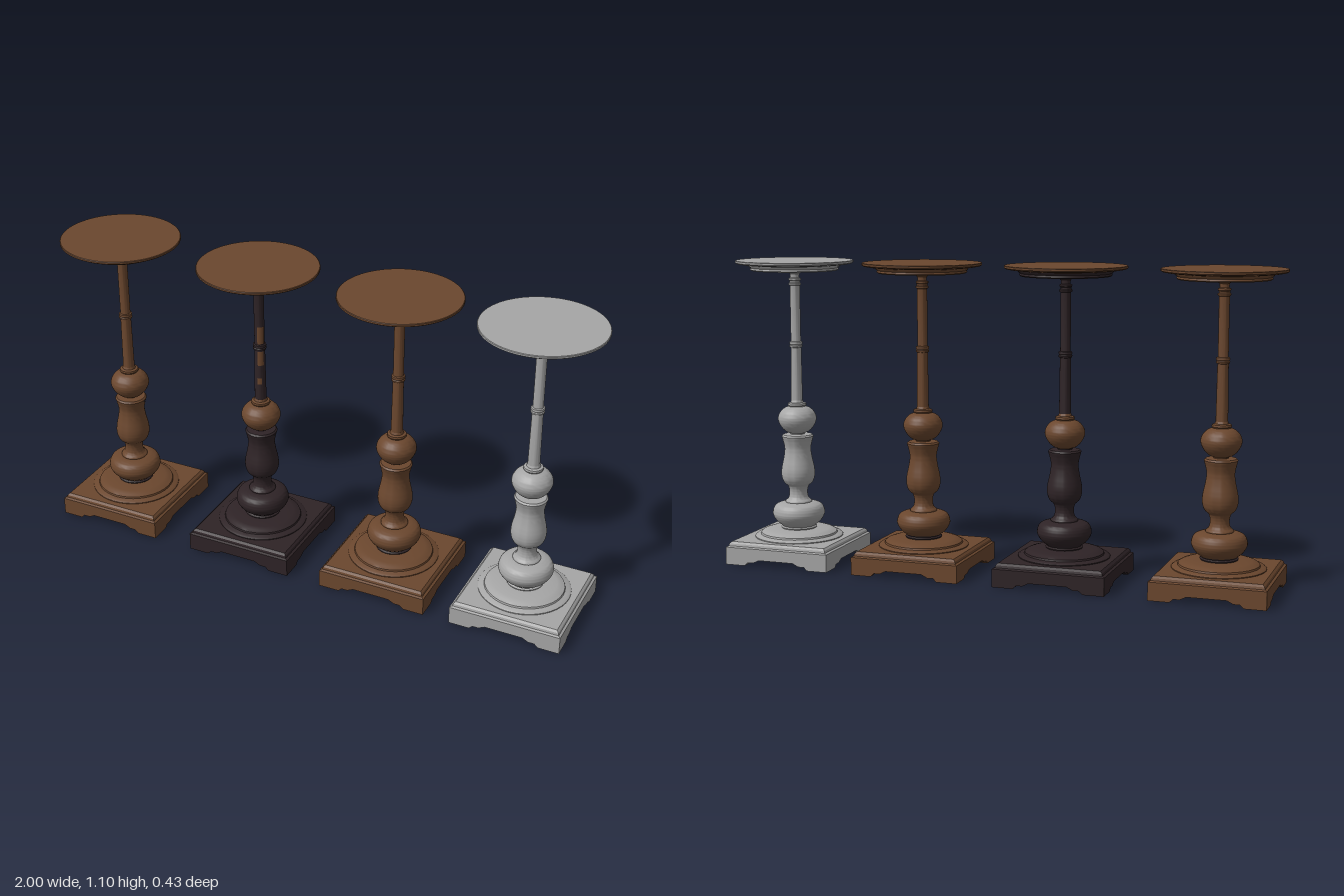
import * as THREE from 'three';
import { toCreasedNormals } from 'three/addons/utils/BufferGeometryUtils.js';

const material = (name, color) => Object.assign(new THREE.MeshStandardMaterial({ color }), { name });

// Turned part from [radius, height] points, optionally rounded through them
function turned(points, smooth = false, segments = 40) {
  let pts = points.map(([r, y]) => new THREE.Vector2(r, y));
  if (smooth) pts = new THREE.SplineCurve(pts).getPoints(points.length * 4);
  return toCreasedNormals(new THREE.LatheGeometry(pts, segments), 0.6);
}

function polygon(points) {
  return new THREE.Shape(points.map(([x, y]) => new THREE.Vector2(x, y)));
}

// Square moulded plinth: a four-sided lathe with flat faces
function plinthGeometry() {
  const profile = [[0.2, 0.028], [0.2, 0.064], [0.192, 0.068], [0.19, 0.076], [0.183, 0.083], [0, 0.083]];
  const pts = profile.map(([r, y]) => new THREE.Vector2(r * Math.SQRT2, y));
  const g = new THREE.LatheGeometry(pts, 4).rotateY(Math.PI / 4).toNonIndexed();
  g.computeVertexNormals();
  return g;
}

function createModel() {
  const brown = material('brown wood', 0x6b472e);
  const dark = material('dark wood', 0x2e2326);
  const grey = material('pale grey', 0xa6a6a6);

  const plinth = plinthGeometry();
  // Apron with a stepped cut-out along its lower edge
  const half = [[0.2, 0.03], [0.2, 0], [0.125, 0], [0.112, 0.012], [0.09, 0.012], [0.068, 0.023]];
  const apron = new THREE.ExtrudeGeometry(
    polygon([...half, ...half.map(([x, y]) => [-x, y]).reverse()]),
    { depth: 0.028, bevelEnabled: false }).translate(0, 0, 0.172);
  // Corner foot with a chamfered inner side
  const foot = new THREE.ExtrudeGeometry(
    polygon([[0.2, 0.2], [0.125, 0.2], [0.125, 0.172], [0.172, 0.125], [0.2, 0.125]]),
    { depth: 0.03, bevelEnabled: false }).rotateX(-Math.PI / 2);
  const underside = new THREE.BoxGeometry(0.35, 0.008, 0.35).translate(0, 0.026, 0);

  const collar = turned([[0.162, 0.082], [0.162, 0.086], [0.155, 0.091], [0.141, 0.093], [0.139, 0.099],
    [0.13, 0.105], [0.112, 0.11], [0.062, 0.113], [0.055, 0.113]]);
  const neck = turned([[0.064, 0.112], [0.066, 0.117], [0.06, 0.121], [0.066, 0.126]]);
  const lowerBulb = turned([[0.062, 0.124], [0.08, 0.138], [0.094, 0.16], [0.095, 0.178],
    [0.085, 0.198], [0.06, 0.208], [0.045, 0.209]], true);
  const vase = turned([[0.047, 0.207], [0.048, 0.214], [0.037, 0.225], [0.033, 0.247], [0.038, 0.269],
    [0.053, 0.284], [0.061, 0.308], [0.06, 0.337], [0.052, 0.375], [0.048, 0.41],
    [0.054, 0.44], [0.057, 0.449]], true);
  const vaseLip = turned([[0.056, 0.448], [0.058, 0.455], [0.053, 0.461], [0.026, 0.463], [0.026, 0.473]]);
  const upperBulb = turned([[0.025, 0.466], [0.043, 0.474], [0.06, 0.492], [0.07, 0.516],
    [0.066, 0.538], [0.05, 0.557], [0.03, 0.566]], true);
  const bulbCap = turned([[0.03, 0.563], [0.034, 0.57], [0.033, 0.577], [0.024, 0.58], [0.021, 0.588], [0.019, 0.588]]);
  const shaft = turned([[0.021, 0.58], [0.019, 0.782], [0.023, 0.784], [0.024, 0.79], [0.021, 0.793],
    [0.024, 0.797], [0.023, 0.803], [0.018, 0.805], [0.018, 1.008], [0.022, 1.01], [0.023, 1.016],
    [0.019, 1.019], [0.019, 1.025], [0.022, 1.028], [0.022, 1.034], [0.016, 1.037],
    [0.017, 1.05], [0.025, 1.056], [0.025, 1.064]], false, 28);
  const topSupport = turned([[0, 1.063], [0.155, 1.063], [0.16, 1.067], [0.158, 1.073],
    [0.163, 1.077], [0.166, 1.083]], false, 64);
  const tableTop = turned([[0.16, 1.082], [0.19, 1.085], [0.207, 1.088], [0.213, 1.092],
    [0.213, 1.098], [0.211, 1.1], [0, 1.1]], false, 64);

  const model = new THREE.Group();
  model.name = 'pedestalTables';

  function buildTable(name, x, main, accent, neckMaterial) {
    const table = new THREE.Group();
    table.name = name;
    table.position.x = x;
    const add = (part, geometry, mat, angle = 0) => {
      const mesh = new THREE.Mesh(geometry, mat);
      mesh.name = part;
      mesh.rotation.y = angle;
      table.add(mesh);
      return mesh;
    };
    add('plinth', plinth, main);
    add('undersidePanel', underside, brown);
    for (let i = 0; i < 4; i++) {
      add('apron', apron, main, i * Math.PI / 2);
      add('cornerFoot', foot, main, i * Math.PI / 2);
    }
    add('baseCollar', collar, main);
    add('neckRing', neck, neckMaterial);
    add('lowerBulb', lowerBulb, main);
    add('vase', vase, main);
    add('vaseLip', vaseLip, main);
    add('upperBulb', upperBulb, accent);
    add('bulbCap', bulbCap, accent);
    add('shaft', shaft, main);
    add('topSupport', topSupport, main);
    add('tableTop', tableTop, accent);
    model.add(table);
    return add;
  }

  buildTable('brownTable', -0.79, brown, brown, dark);
  const addToDark = buildTable('darkTable', -0.24, dark, brown, dark);
  buildTable('secondBrownTable', 0.29, brown, brown, dark);
  buildTable('greyTable', 0.787, grey, grey, grey);

  // Worn patches of lighter wood on the dark shaft: [bottom, top, start angle, sweep]
  for (const [y0, y1, start, sweep] of [[0.81, 0.875, 0.1, 1.3], [0.725, 0.78, 0.1, 1.1], [0.65, 0.675, 0, 0.8]]) {
    const patch = new THREE.CylinderGeometry(0.0206, 0.0206, y1 - y0, 8, 1, true, start, sweep);
    addToDark('wornPatch', patch.translate(0, (y0 + y1) / 2, 0), brown);
  }
  return model;
}

export { createModel };
